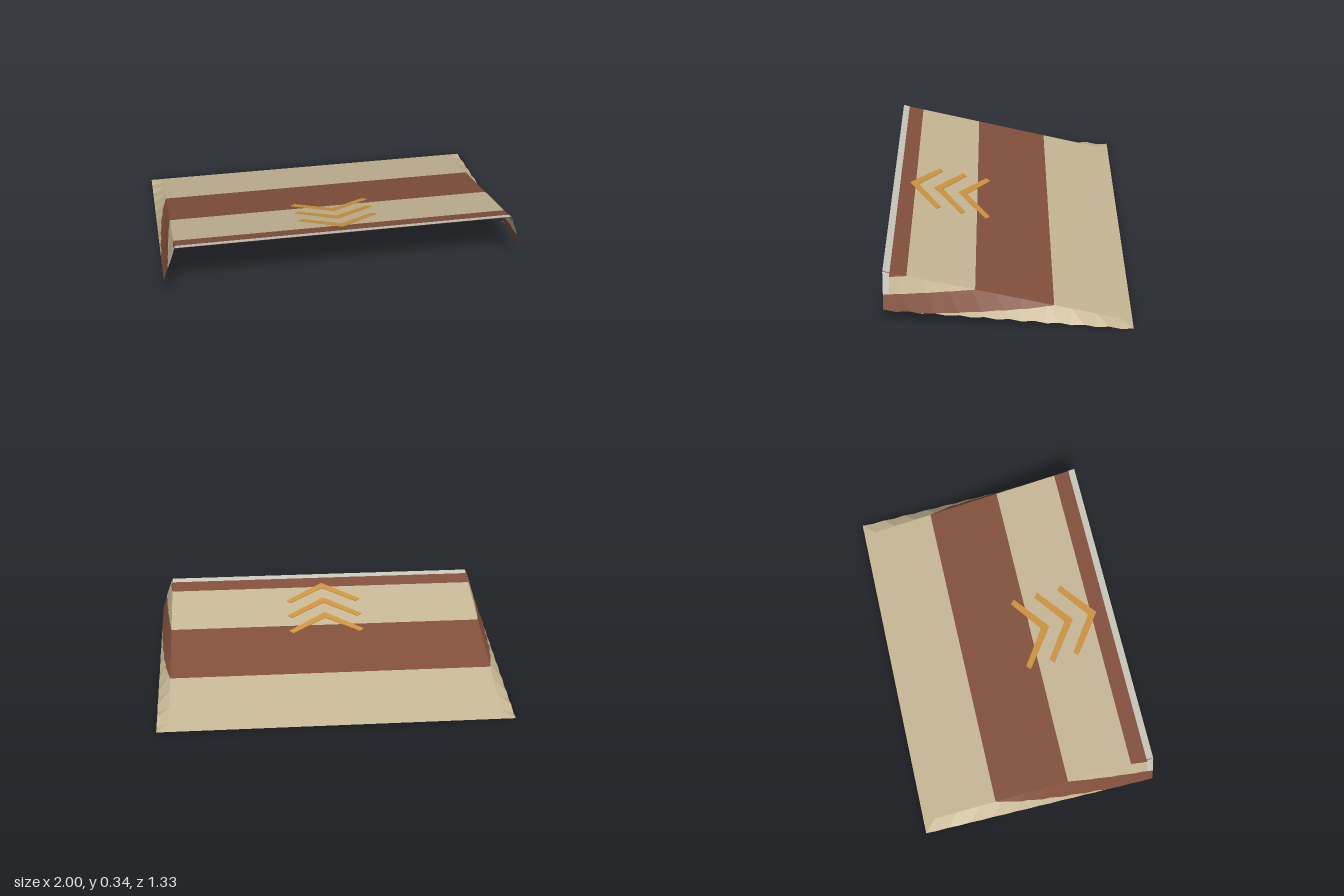
import * as THREE from 'three';

const HALF_Z = 0.667, TOP_X = 0.93, HEM_X = 1, SEGMENTS = 20;
const SLOPE = 0.249;
const BANDS = [-1, 0.109, 0.214, 0.304, 1]; // heights where the stripes change

const topY = (z) => 0.003 + (z + HALF_Z) * SLOPE;

// Keeps the part of a convex polygon where sign * (y - level) >= 0
function clip(poly, level, sign) {
  const out = [];
  poly.forEach((a, i) => {
    const b = poly[(i + 1) % poly.length];
    const da = sign * (a.y - level), db = sign * (b.y - level);
    if (da >= 0) out.push(a);
    if (da * db < 0) out.push(a.clone().lerp(b, da / (da - db)));
  });
  return out;
}

// Flat-shaded geometry from convex polygons, each split into a fan
function polygonGeometry(polys) {
  const points = [];
  for (const p of polys) {
    for (let i = 1; i < p.length - 1; i++) points.push(p[0], p[i], p[i + 1]);
  }
  const geometry = new THREE.BufferGeometry().setFromPoints(points);
  geometry.computeVertexNormals();
  return geometry;
}

export function createModel() {
  const mat = (name, color) =>
    new THREE.MeshStandardMaterial({ name, color, side: THREE.DoubleSide });
  const cream = mat('cream cloth', 0xc6b794);
  const brown = mat('brown cloth', 0x83503c);
  const white = mat('pale trim', 0xc8c5ba);
  const orange = mat('orange paint', 0xcd933f);

  const model = new THREE.Group();
  model.name = 'awning';
  const v = (x, y, z) => new THREE.Vector3(x, y, z);
  const add = (parent, name, geometry, material) => {
    const mesh = new THREE.Mesh(geometry, material);
    mesh.name = name;
    parent.add(mesh);
    return mesh;
  };

  // Cuts a cloth surface into its horizontal stripes
  const addStriped = (name, polys) => {
    const group = new THREE.Group();
    group.name = name;
    for (let i = 0; i < 4; i++) {
      const parts = polys
        .map((p) => clip(clip(p, BANDS[i], 1), BANDS[i + 1], -1))
        .filter((p) => p.length > 2);
      if (parts.length) {
        add(group, `${name}Stripe${i + 1}`, polygonGeometry(parts), i % 2 ? brown : cream);
      }
    }
    model.add(group);
  };

  // Sloping roof sheet
  const sheet = (z0, z1, lift) => [
    v(-TOP_X, topY(z0) + lift, z0), v(-TOP_X, topY(z1) + lift, z1),
    v(TOP_X, topY(z1) + lift, z1), v(TOP_X, topY(z0) + lift, z0),
  ];
  addStriped('roofSheet', [sheet(-HALF_Z, HALF_Z, 0)]);
  add(model, 'frontTrim', polygonGeometry([sheet(0.63, HALF_Z, 0.002)]), white);

  // Side flaps flaring outwards, with a zigzag hem
  const hemY = (i) => 0.003 + 0.135 * (i / SEGMENTS) - (i % 2 ? 0.01 : 0);
  for (const side of [1, -1]) {
    const name = side > 0 ? 'left' : 'right';
    const orient = (p) => (side > 0 ? p : p.reverse());
    const polys = [];
    for (let i = 0; i < SEGMENTS; i++) {
      const z0 = -HALF_Z + (2 * HALF_Z * i) / SEGMENTS;
      const z1 = -HALF_Z + (2 * HALF_Z * (i + 1)) / SEGMENTS;
      const t0 = v(side * TOP_X, topY(z0), z0), t1 = v(side * TOP_X, topY(z1), z1);
      const b0 = v(side * HEM_X, Math.max(0, hemY(i)), z0);
      const b1 = v(side * HEM_X, Math.max(0, hemY(i + 1)), z1);
      polys.push(orient([b0, t0, t1]), orient([b0, t1, b1]));
    }
    addStriped(name + 'Flap', polys);

    // Pale trim on the upper front corner of the flap
    const corner = (y, z) => {
      const drop = (topY(z) - y) / (topY(z) - (0.07 + 0.1 * z));
      return v(side * (TOP_X + (HEM_X - TOP_X) * drop + 0.003), y, z);
    };
    const trim = orient([
      corner(0.218, 0.633), corner(topY(0.633), 0.633),
      corner(topY(HALF_Z), HALF_Z), corner(0.218, HALF_Z),
    ]);
    add(model, name + 'FlapTrim', polygonGeometry([trim]), white);
  }

  // Three painted chevrons pointing to the front
  const slope = new THREE.Group();
  slope.name = 'chevrons';
  slope.position.y = topY(0);
  slope.rotation.x = -Math.atan(SLOPE);
  const stretch = Math.hypot(1, SLOPE);
  const outline = [
    [-0.225, 0.13], [-0.2, 0.108], [0, 0.243], [0.2, 0.108], [0.225, 0.13], [0, 0.292],
  ];
  for (let i = 0; i < 3; i++) {
    const shape = new THREE.Shape(
      outline.map(([x, z]) => new THREE.Vector2(x, (z + 0.141 * i) * stretch)));
    const geometry = new THREE.ExtrudeGeometry(shape, { depth: 0.004, bevelEnabled: false });
    geometry.rotateX(Math.PI / 2).translate(0, 0.006, 0);
    add(slope, `chevron${i + 1}`, geometry, orange);
  }
  model.add(slope);

  return model;
}
